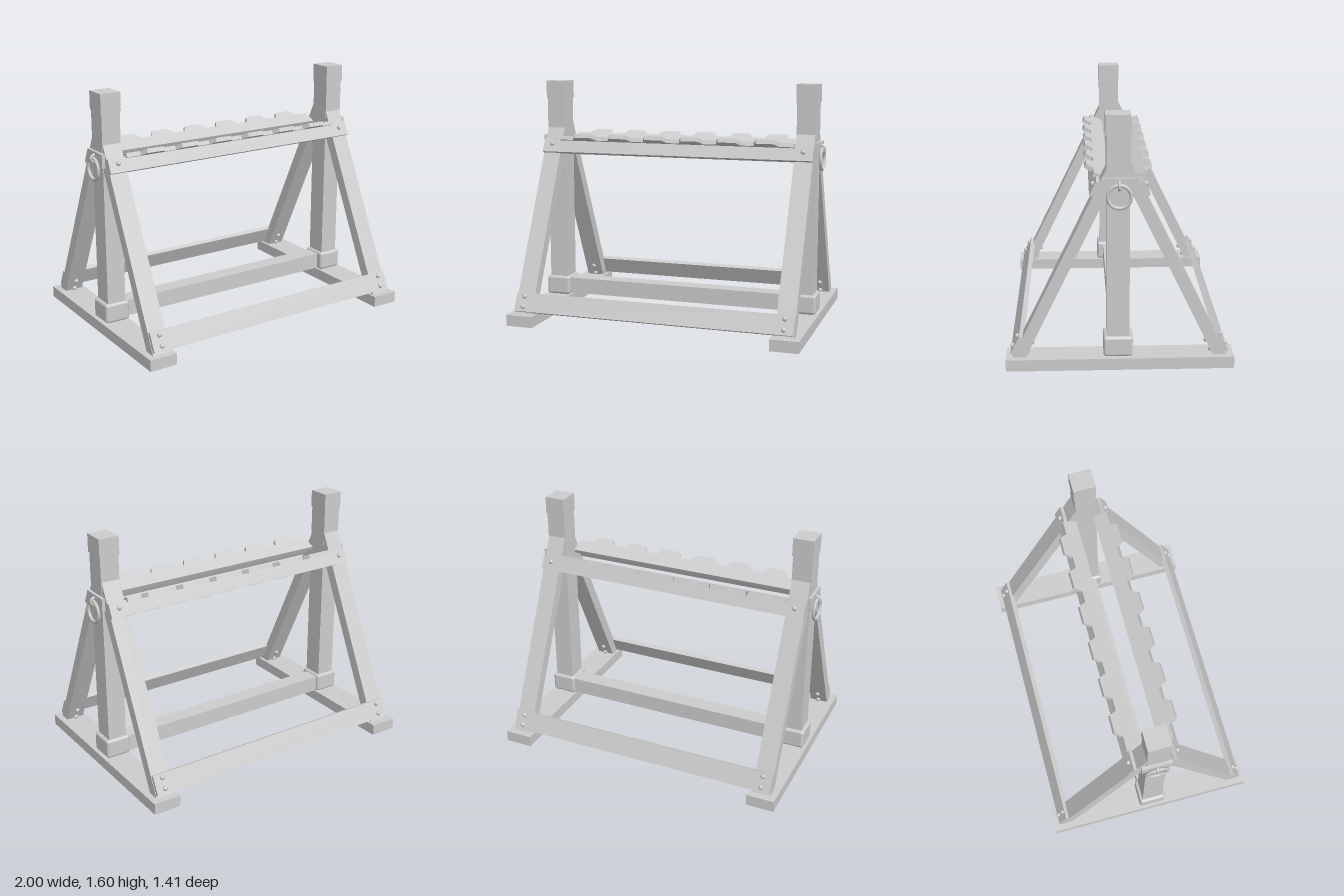
import * as THREE from 'three';
import { RoundedBoxGeometry } from 'three/addons/geometries/RoundedBoxGeometry.js';

export function createModel() {
  const model = new THREE.Group();
  model.name = 'storageRack';
  const grey = new THREE.MeshStandardMaterial({ color: 0xcccccc });
  grey.name = 'plain grey';

  function add(parent, name, geometry, x = 0, y = 0, z = 0) {
    const mesh = new THREE.Mesh(geometry, grey);
    mesh.name = name;
    mesh.position.set(x, y, z);
    parent.add(mesh);
    return mesh;
  }
  const box = (w, h, d) => new THREE.BoxGeometry(w, h, d);
  const points = (list) => new THREE.Shape(list.map(([a, b]) => new THREE.Vector2(a, b)));

  // Two end frames: foot, post, boot, cap and carrying ring
  for (const s of [-1, 1]) {
    const end = new THREE.Group();
    end.name = s > 0 ? 'leftEnd' : 'rightEnd';
    model.add(end);
    add(end, 'foot', box(0.185, 0.075, 1.41), s * 0.892, 0.0425, -0.003);
    add(end, 'post', box(0.128, 1.43, 0.14), s * 0.883, 0.795, 0.01);
    add(end, 'boot', new RoundedBoxGeometry(0.17, 0.13, 0.18, 2, 0.018), s * 0.884, 0.15, 0.01);
    add(end, 'cap', box(0.138, 0.12, 0.15), s * 0.883, 1.54, 0.01);
    add(end, 'ringPlate', box(0.022, 0.09, 0.2), s * 0.955, 1.18, 0.005);
    const ring = add(end, 'ring', new THREE.TorusGeometry(0.07, 0.011, 8, 32), s * 0.977, 1.115, 0.004);
    ring.rotation.y = Math.PI / 2;
    const staple = add(end, 'staple', new THREE.TorusGeometry(0.025, 0.009, 8, 16, Math.PI), s * 0.966, 1.18, 0.004);
    staple.rotation.z = -s * Math.PI / 2;
  }

  // Low beam between the posts
  add(model, 'lowBeam', box(1.66, 0.11, 0.115), 0, 0.145, -0.002);

  // Sloping side: braces, boards, bolts and notched shelf
  const lean = Math.atan(0.485);
  const braceShape = points([[0.58, 0.08], [0.66, 0.08], [0.05, 1.338], [0.05, 1.173]]);
  const braceGeometry = new THREE.ExtrudeGeometry(braceShape, { depth: 0.122, bevelEnabled: false });
  braceGeometry.translate(0, 0, -0.061).rotateY(-Math.PI / 2);

  // Shelf outline with six tapered tabs on its outer edge
  const outline = [[0.82, 0], [0.82, 0.1]];
  for (let i = 5; i >= 0; i--) {
    const c = (i - 2.5) * 0.255;
    outline.push([c + 0.085, 0.1], [c + 0.06, 0.15], [c - 0.06, 0.15], [c - 0.085, 0.1]);
  }
  outline.push([-0.82, 0.1], [-0.82, 0]);
  const shelfGeometry = new THREE.ExtrudeGeometry(points(outline), { depth: 0.028, bevelEnabled: false });
  const boltGeometry = new THREE.SphereGeometry(0.016, 12, 8);

  for (const front of [true, false]) {
    const side = new THREE.Group();
    side.name = front ? 'frontSide' : 'backSide';
    side.rotation.y = front ? 0 : Math.PI;
    model.add(side);
    for (const s of [-1, 1]) add(side, 'brace', braceGeometry, s * 0.882);

    // Boards lie along the outer face of the braces
    const slope = new THREE.Group();
    slope.name = 'boards';
    slope.position.set(0, 0.08, 0.66);
    slope.rotation.x = -lean;
    side.add(slope);
    add(slope, 'lowerBoard', box(1.88, 0.128, 0.034), 0, 0.08, 0.006);
    add(slope, 'upperBoard', box(1.89, 0.097, 0.034), 0, 1.19, 0.006);
    for (const s of [-1, 1]) {
      for (const y of [0.048, 0.118]) {
        add(slope, 'outerBolt', boltGeometry, s * 0.88, y, 0.025);
        add(slope, 'innerBolt', boltGeometry, s * 0.88, y, -0.074);
      }
      add(slope, 'upperBolt', boltGeometry, s * 0.88, 1.2, 0.025);
    }

    const shelf = add(side, 'notchedShelf', shelfGeometry, 0, 1.185, 0.06);
    shelf.rotation.x = Math.PI / 2 - 0.42;
  }
  return model;
}
